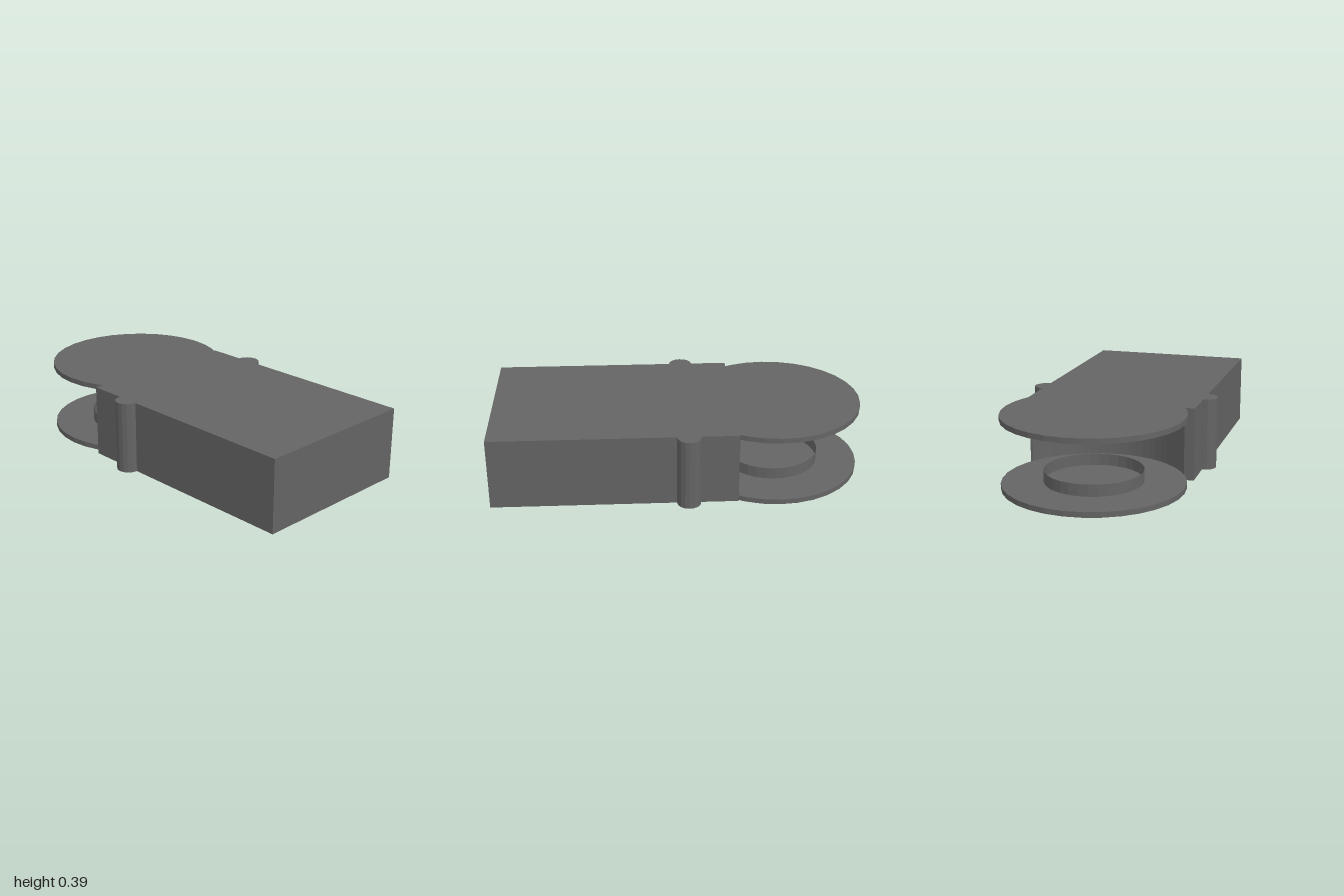
import * as THREE from 'three';

const HEIGHT = 0.39;
const PLATE = 0.028;
const RIM = 0.063;
const HALF_WIDTH = 0.455;
const PIVOT = { x: -0.521, z: -0.02 };

// block outline seen from above (shape y is -z), with a round recess around the pivot
function bodyGeometry() {
  const left = -0.304;
  const radius = 0.475;
  const angle = Math.acos((left - PIVOT.x) / radius);
  const outline = new THREE.Shape();
  outline.moveTo(left, -HALF_WIDTH);
  outline.lineTo(1, -HALF_WIDTH);
  outline.lineTo(1, HALF_WIDTH);
  outline.lineTo(left, HALF_WIDTH);
  outline.absarc(PIVOT.x, -PIVOT.z, radius, angle, -angle, true);
  outline.closePath();
  const geometry = new THREE.ExtrudeGeometry(outline, {
    depth: HEIGHT, bevelEnabled: false, curveSegments: 12,
  });
  return geometry.rotateX(-Math.PI / 2);
}

export function createModel() {
  const group = new THREE.Group();
  const solid = new THREE.MeshStandardMaterial({ color: 0x646464, flatShading: true });
  const shell = solid.clone();
  shell.side = THREE.DoubleSide;

  const add = (name, geometry, material, x, y, z) => {
    const mesh = new THREE.Mesh(geometry, material);
    mesh.name = name;
    mesh.position.set(x, y, z);
    group.add(mesh);
  };

  // main block
  add('body', bodyGeometry(), solid, 0, 0, 0);

  // upright side ribs, half sunk into the block
  for (const [side, s] of [['front', 1], ['back', -1]]) {
    add(`${side}Rib`, new THREE.CylinderGeometry(0.064, 0.064, HEIGHT, 16), solid,
      -0.042, HEIGHT / 2, s * 0.456);
  }

  // pair of round hinge plates, each with a thin open rim facing the gap
  for (const [side, s] of [['upper', 1], ['lower', -1]]) {
    const plateY = HEIGHT / 2 + s * (HEIGHT - PLATE) / 2;
    const rimY = plateY - s * (PLATE + RIM) / 2;
    add(`${side}Plate`, new THREE.CylinderGeometry(0.479, 0.479, PLATE, 32), solid,
      PIVOT.x, plateY, PIVOT.z);
    add(`${side}Rim`, new THREE.CylinderGeometry(0.26, 0.26, RIM, 32, 1, true), shell,
      PIVOT.x, rimY, PIVOT.z);
  }

  return group;
}
